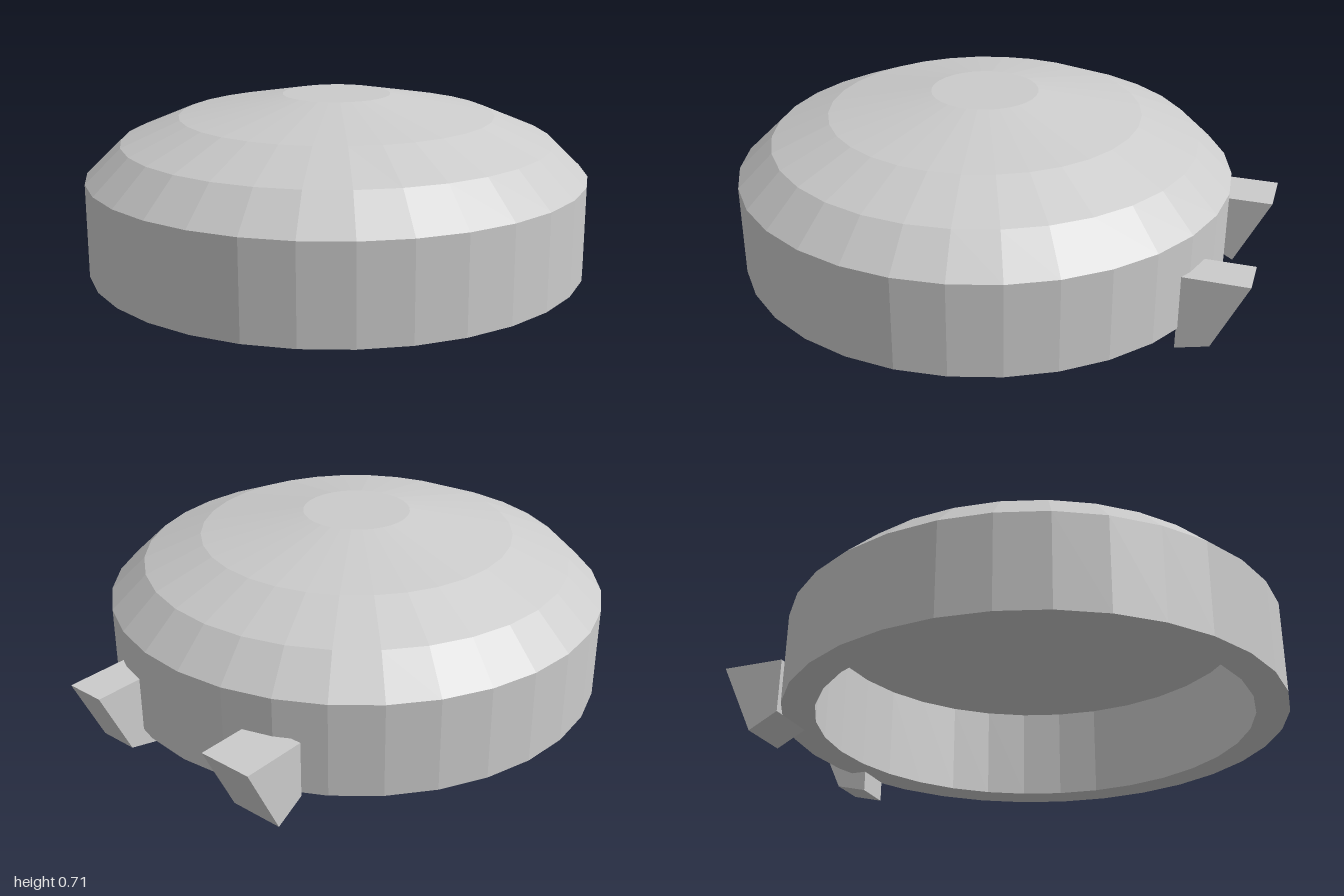
import * as THREE from 'three';

const material = new THREE.MeshStandardMaterial({ color: 0xcccccc, flatShading: true });

// Wedge-shaped clip: side outline in (distance behind centre, height), extruded from x0 to x1
function makeClip(name, x0, x1, outline) {
  const shape = new THREE.Shape(outline.map(([back, y]) => new THREE.Vector2(back, y)));
  const geometry = new THREE.ExtrudeGeometry(shape, { depth: x1 - x0, bevelEnabled: false });
  geometry.rotateY(Math.PI / 2).translate(x0, 0, 0);
  const clip = new THREE.Mesh(geometry, material);
  clip.name = name;
  return clip;
}

export function createModel() {
  const model = new THREE.Group();
  model.name = 'domedCap';

  // Hollow shell: recessed ceiling, inner wall, rim, outer wall, stepped dome
  const profile = [
    [0, 0.45], [0.81, 0.45], [0.81, 0.08], [0.93, 0.08], [0.93, 0.425],
    [0.8, 0.55], [0.585, 0.64], [0.2, 0.715], [0, 0.715],
  ].map(([r, y]) => new THREE.Vector2(r, y));
  const shell = new THREE.Mesh(new THREE.LatheGeometry(profile, 32), material);
  shell.name = 'shell';
  shell.position.z = 0.07;
  model.add(shell);

  // Two slightly different clips on the back
  model.add(makeClip('rightClip', -0.45, -0.25,
    [[0.76, 0.285], [0.76, 0.08], [0.87, 0.02], [1, 0.285]]));
  model.add(makeClip('leftClip', 0.25, 0.4,
    [[0.76, 0.285], [0.76, 0], [0.88, 0.03], [1, 0.285]]));

  return model;
}
